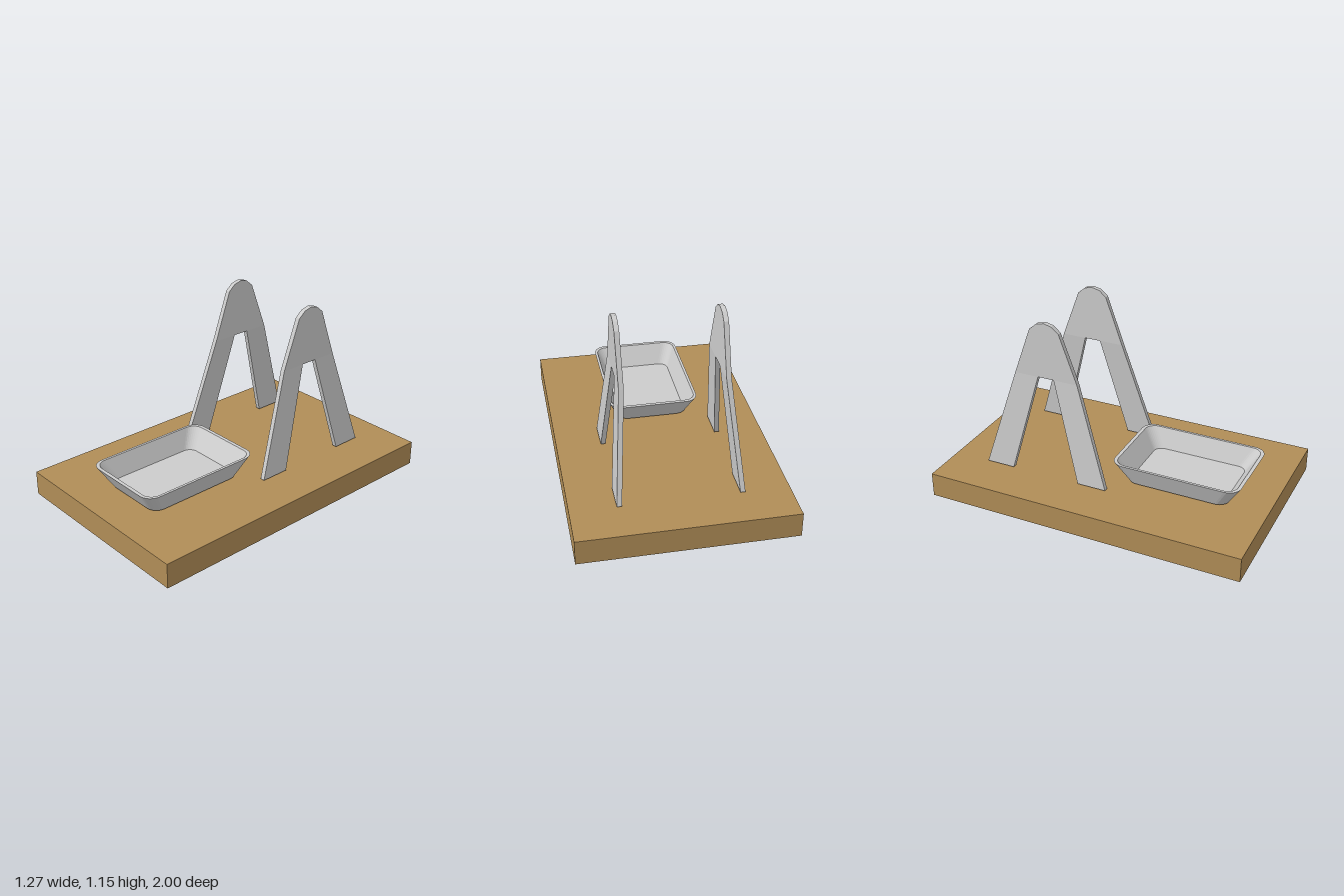
import * as THREE from 'three';

const grey = new THREE.MeshStandardMaterial({ color: 0xcccccc, flatShading: true });
const wood = new THREE.MeshStandardMaterial({ color: 0xb08d57 });

// Skin a row of closed rings (anticlockwise seen against the direction of travel) and cap both ends
function loft(rings) {
  const pos = [];
  const tri = (...pts) => pts.forEach((p) => pos.push(p.x, p.y, p.z));
  const n = rings[0].length;
  const centre = (r) => r.reduce((s, p) => s.add(p), new THREE.Vector3()).divideScalar(n);
  const first = rings[0], last = rings[rings.length - 1];
  const c0 = centre(first), c1 = centre(last);
  for (let i = 0; i < n; i++) {
    const j = (i + 1) % n;
    for (let k = 0; k < rings.length - 1; k++) {
      const a = rings[k], b = rings[k + 1];
      tri(a[i], a[j], b[j]);
      tri(a[i], b[j], b[i]);
    }
    tri(c0, first[j], first[i]);
    tri(c1, last[i], last[j]);
  }
  const g = new THREE.BufferGeometry();
  g.setAttribute('position', new THREE.Float32BufferAttribute(pos, 3));
  g.computeVertexNormals();
  return g;
}

// Horizontal rounded rectangle with half sizes hx, hz
function roundedRing(hx, hz, r, y, steps = 8) {
  const ring = [];
  for (let q = 0; q < 4; q++) {
    const sx = q === 0 || q === 3 ? 1 : -1;
    const sz = q < 2 ? -1 : 1;
    for (let s = 0; s <= steps; s++) {
      const t = (q + s / steps) * Math.PI / 2;
      ring.push(new THREE.Vector3(
        sx * (hx - r) + r * Math.cos(t), y, sz * (hz - r) - r * Math.sin(t)));
    }
  }
  return ring;
}

// A-shaped upright: legs splay outward below the bend at y = 0.8
function uprightGeometry(side) {
  const bend = 0.8, foot = 0.165, half = 0.0145;
  // outer z, outer y, inner z, inner y, from the front foot to the crown
  const front = [
    [0.405, foot, 0.222, foot],
    [0.205, bend, 0.052, bend],
    [0.095, 1.10, 0.03, bend],
    [0.05, 1.138, 0.015, bend],
    [0, 1.15, 0, bend],
  ];
  const back = front.slice(0, -1).reverse().map(([oz, oy, iz, iy]) => [-oz, oy, -iz, iy]);
  const xAt = (y) => side * (y < bend
    ? 0.302 + 0.053 * (bend - y) / (bend - foot)
    : 0.302 + 0.002 * (y - bend) / 0.35);
  const point = (z, y, s) => new THREE.Vector3(xAt(y) + s * half, y, z);
  return loft([...front, ...back].map(([oz, oy, iz, iy]) =>
    [point(iz, iy, 1), point(iz, iy, -1), point(oz, oy, -1), point(oz, oy, 1)]));
}

export function createModel() {
  const group = new THREE.Group();
  const add = (name, geometry, material, x, y, z) => {
    const mesh = new THREE.Mesh(geometry, material);
    mesh.name = name;
    mesh.position.set(x, y, z);
    group.add(mesh);
  };

  // Wooden base
  add('baseBoard', new THREE.BoxGeometry(1.275, 0.153, 2), wood, 0, 0.0765, 0);

  // Pair of uprights
  add('leftUpright', uprightGeometry(1), grey, 0, 0, -0.355);
  add('rightUpright', uprightGeometry(-1), grey, 0, 0, -0.355);

  // Tray: outer wall, rim, inner wall and floor
  add('tray', loft([
    roundedRing(0.222, 0.32, 0.07, 0.165),
    roundedRing(0.277, 0.402, 0.08, 0.3),
    roundedRing(0.261, 0.38, 0.066, 0.3),
    roundedRing(0.207, 0.3, 0.055, 0.18),
  ]), grey, 0, 0, 0.437);

  return group;
}
